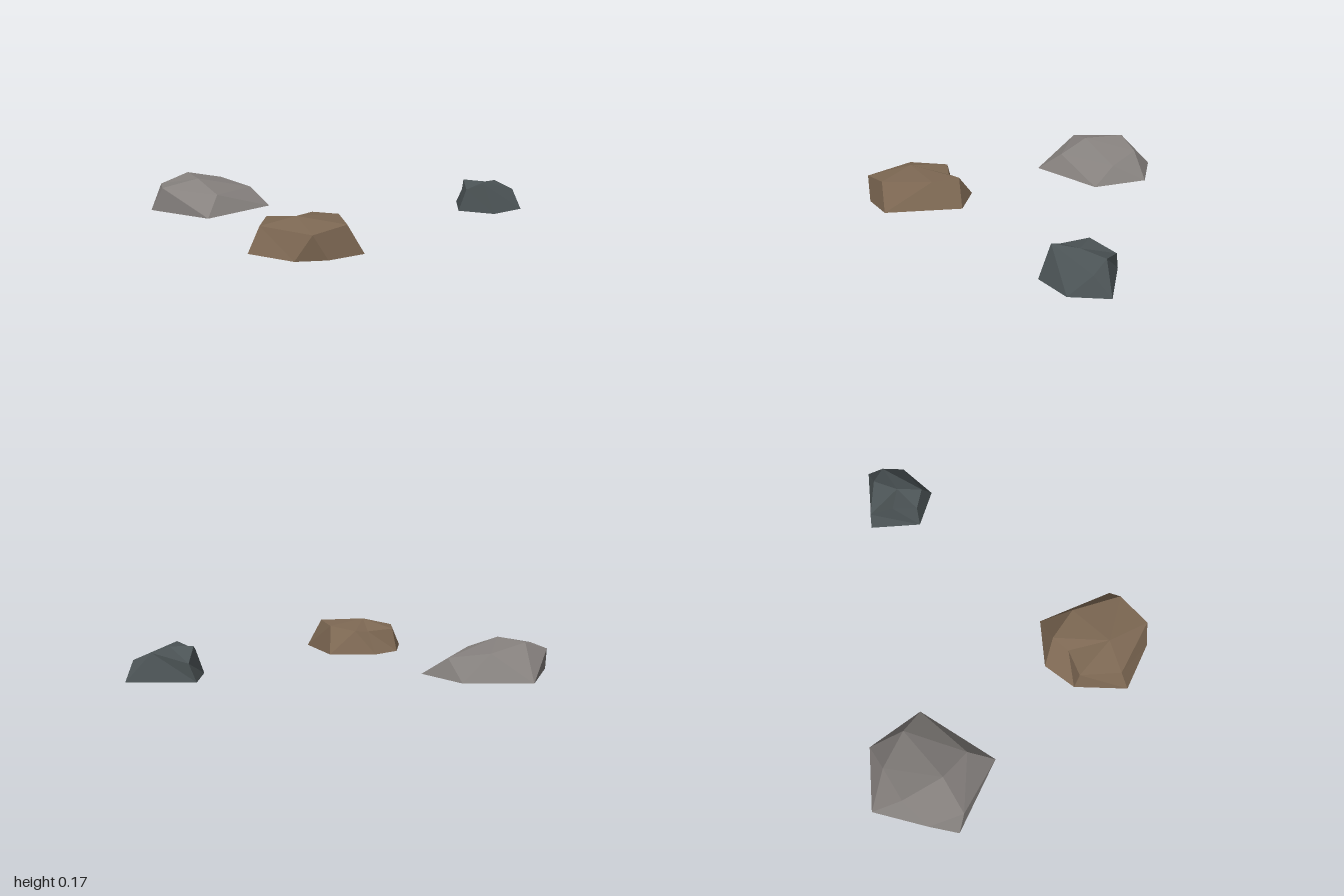
import * as THREE from 'three';

const material = (name, color) => {
  const m = new THREE.MeshStandardMaterial({ color, flatShading: true, side: THREE.DoubleSide });
  m.name = name;
  return m;
};

// Faceted open-bottomed rock: ground ring [x, z], shoulder ring [x, y, z] and one crown point.
// Rings run clockwise from above; a repeated ground point lets a corner fan out to several shoulders.
function rock(name, mat, groundY, ground, shoulder, crown) {
  const positions = [];
  const tri = (...points) => points.forEach((p) => positions.push(...p));
  const base = ground.map(([x, z]) => [x, groundY, z]);
  const n = shoulder.length;
  for (let i = 0; i < n; i++) {
    const j = (i + 1) % n;
    tri(base[i], shoulder[i], shoulder[j]);
    if (ground[i] !== ground[j]) tri(base[i], shoulder[j], base[j]);
    tri(shoulder[i], crown, shoulder[j]);
  }
  const geometry = new THREE.BufferGeometry();
  geometry.setAttribute('position', new THREE.Float32BufferAttribute(positions, 3));
  geometry.computeVertexNormals();
  const mesh = new THREE.Mesh(geometry, mat);
  mesh.name = name;
  return mesh;
}

export function createModel() {
  const group = new THREE.Group();
  group.name = 'rocks';

  // Brown rock at the front
  group.add(rock('brownRock', material('brown stone', 0x7d6853), 0,
    [[-0.49, 0.6], [-0.42, 0.34], [-0.28, 0.225], [-0.04, 0.26], [0.03, 0.65], [-0.14, 0.75], [-0.29, 0.76]],
    [[-0.435, 0.12, 0.57], [-0.4, 0.12, 0.365], [-0.26, 0.11, 0.345], [-0.18, 0.12, 0.285],
      [-0.065, 0.135, 0.415], [-0.05, 0.14, 0.67], [-0.21, 0.118, 0.768]],
    [-0.27, 0.158, 0.55]));

  // Wide grey rock at the back
  const greyBack = [-0.805, -0.77];
  group.add(rock('greyRock', material('grey stone', 0x86817e), 0.006,
    [[-1, -0.38], greyBack, greyBack, [-0.49, -0.72], [-0.37, -0.44], [-0.69, -0.13]],
    [[-0.935, 0.132, -0.34], [-0.955, 0.125, -0.515], [-0.815, 0.17, -0.61],
      [-0.635, 0.13, -0.67], [-0.47, 0.095, -0.54], [-0.645, 0.105, -0.26]],
    [-0.75, 0.17, -0.4]));

  // Small dark rock to the side
  const darkCorner = [0.64, -0.23];
  group.add(rock('darkRock', material('dark slate', 0x4b5355), 0,
    [darkCorner, darkCorner, [0.68, -0.485], [1, -0.44], [0.985, -0.25], [0.81, -0.13]],
    [[0.68, 0.115, -0.23], [0.69, 0.148, -0.355], [0.715, 0.085, -0.475],
      [0.88, 0.13, -0.42], [0.965, 0.09, -0.36], [0.765, 0.15, -0.185]],
    [0.8, 0.143, -0.31]));

  return group;
}
